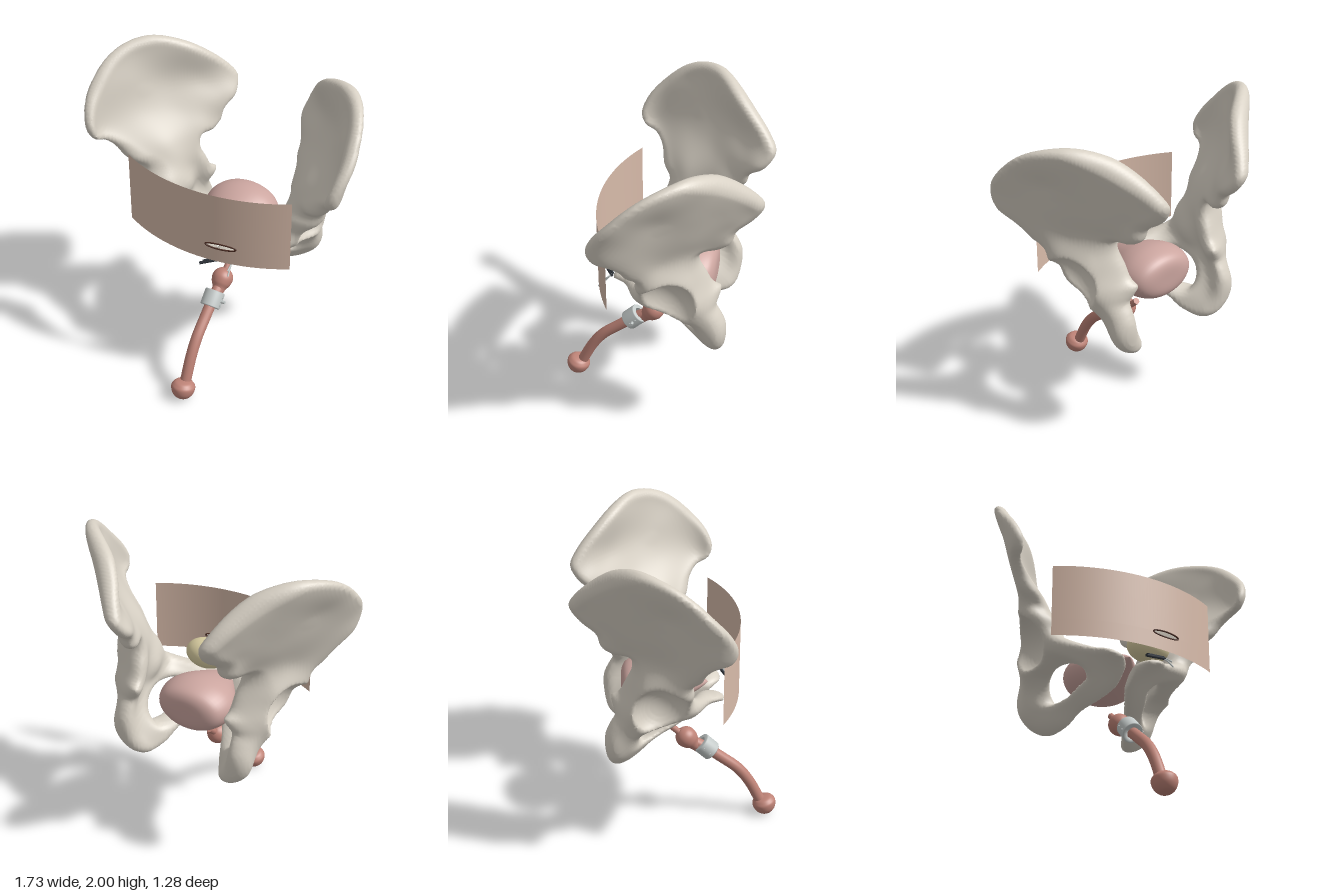
import * as THREE from 'three';

const V = (x, y, z) => new THREE.Vector3(x, y, z);
const mat = (color, side = THREE.FrontSide) => new THREE.MeshStandardMaterial({ color, side, roughness: 0.8 });
const smooth = (pts, n) => new THREE.CatmullRomCurve3(pts.map(([z, y]) => V(z, y, 0)), true).getPoints(n);

// Hip bone in side projection (z, y): rim and obturator opening
const RIM = [[.275, 1.57], [.24, 1.67], [.14, 1.79], [0, 1.915], [-.13, 1.98], [-.26, 2], [-.38, 1.95], [-.5, 1.85],
  [-.6, 1.74], [-.64, 1.66], [-.58, 1.555], [-.49, 1.485], [-.465, 1.41], [-.39, 1.365], [-.3, 1.36], [-.29, 1.3],
  [-.33, 1.2], [-.37, 1.12], [-.415, 1.085], [-.405, 1.03], [-.395, .99], [-.425, .935], [-.455, .865], [-.457, .76], [-.43, .65],
  [-.37, .615], [-.26, .645], [-.155, .72], [-.02, .77], [.11, .84], [.22, .915], [.275, .945], [.245, .98], [.165, 1.01],
  [.06, 1.1], [.06, 1.19], [.045, 1.26], [.095, 1.32], [.12, 1.405], [.165, 1.46], [.245, 1.5]];
const OPENING = [[.05, .925], [0, .95], [-.12, .93], [-.2, .9], [-.25, .83], [-.245, .775], [-.17, .785], [-.06, .83], [.03, .88]];

// Bone guides: z, y, middle x, half thickness
const ILIUM = [[.26, 1.58, .79, .033], [.14, 1.77, .83, .045], [0, 1.89, .805, .04], [-.13, 1.95, .745, .04], [-.26, 1.97, .64, .05],
  [-.38, 1.92, .51, .065], [-.49, 1.83, .41, .065], [-.59, 1.73, .335, .055], [-.6, 1.64, .30, .05], [-.55, 1.56, .29, .06],
  [-.44, 1.42, .33, .05], [-.33, 1.4, .365, .05], [.2, 1.52, .785, .028], [.08, 1.38, .655, .052], [.03, 1.27, .56, .08],
  [.1, 1.62, .785, .026], [-.08, 1.75, .71, .02], [-.1, 1.55, .62, .025], [-.25, 1.72, .59, .022], [-.25, 1.52, .49, .035],
  [-.42, 1.68, .435, .035], [-.42, 1.55, .365, .05], [-.08, 1.38, .53, .06], [-.22, 1.36, .43, .06]];
const ISCHIUM_PUBIS = [[-.05, 1.22, .51, .115], [-.22, 1.2, .445, .1], [-.32, 1.2, .36, .05], [-.12, 1.06, .45, .12], [.02, 1.08, .44, .08],
  [-.27, 1.05, .445, .095], [-.4, 1.07, .33, .035], [-.1, .97, .43, .08], [-.35, .95, .41, .065], [-.39, .84, .40, .075],
  [-.39, .73, .37, .075], [-.36, .66, .31, .055], [-.25, .7, .25, .045], [-.12, .765, .185, .038], [0, .82, .135, .038],
  [.1, .88, .095, .04], [.2, .93, .10, .045], [.25, .945, .125, .04], [.14, .97, .195, .045], [.07, 1.0, .34, .05]];

// Smooth interpolation of one guide column over (z, y)
function interpolator(pts, col) {
  const phi = (a, b) => Math.sqrt((a[0] - b[0]) ** 2 + (a[1] - b[1]) ** 2 + 0.006);
  const n = pts.length, mean = pts.reduce((s, p) => s + p[col], 0) / n;
  const A = pts.map(p => [...pts.map(q => phi(p, q)), p[col] - mean]);
  for (let c = 0; c < n; c++) {
    let best = c;
    for (let r = c; r < n; r++) if (Math.abs(A[r][c]) > Math.abs(A[best][c])) best = r;
    [A[c], A[best]] = [A[best], A[c]];
    for (let r = 0; r < n; r++) {
      if (r === c) continue;
      const f = A[r][c] / A[c][c];
      for (let k = c; k <= n; k++) A[r][k] -= f * A[c][k];
    }
  }
  const w = A.map((row, i) => row[n] / row[i]);
  return (z, y) => pts.reduce((s, p, i) => s + w[i] * phi(p, [z, y]), mean);
}

// Signed distance to a closed outline, negative inside
function outlineDistance(poly, z, y) {
  let best = 1e9, inside = false;
  for (let i = 0, j = poly.length - 1; i < poly.length; j = i++) {
    const a = poly[i], b = poly[j], ex = b.x - a.x, ey = b.y - a.y, wx = z - a.x, wy = y - a.y;
    const t = Math.min(1, Math.max(0, (wx * ex + wy * ey) / (ex * ex + ey * ey || 1)));
    best = Math.min(best, Math.hypot(wx - ex * t, wy - ey * t));
    if ((a.y > y) !== (b.y > y) && z < a.x + (y - a.y) * ex / ey) inside = !inside;
  }
  return inside ? -best : best;
}

// Distance field of the bone, sampled on a grid
function sampleBone(N, origin, cell) {
  const guides = [...ILIUM, ...ISCHIUM_PUBIS];
  const mid = interpolator(guides, 2), half = interpolator(guides, 3);
  const rim = smooth(RIM, 160), opening = smooth(OPENING, 60);
  const field = new Float32Array(N[0] * N[1] * N[2]);
  for (let k = 0; k < N[2]; k++) for (let j = 0; j < N[1]; j++) {
    const y = origin[1] + j * cell, z = origin[2] + k * cell, e = 0.01;
    const edge = Math.max(outlineDistance(rim, z, y), -outlineDistance(opening, z, y));
    const m = mid(z, y), h = Math.max(0.018, half(z, y)), r = Math.min(h, 0.07);
    const g = Math.hypot(1, (mid(z + e, y) - m) / e, (mid(z, y + e) - m) / e);
    for (let i = 0; i < N[0]; i++) {
      const x = origin[0] + i * cell;
      const a = edge + r, b = Math.abs(x - m) / g - h + r;
      let d = Math.min(Math.max(a, b), 0) + Math.hypot(Math.max(a, 0), Math.max(b, 0)) - r;
      // hip socket, with a softened lip
      const s = 0.18 - Math.hypot(x - 0.61, y - 1.065, z + 0.13), q = Math.max(0.02 - Math.abs(d - s), 0);
      d = Math.max(d, s) + q * q / 0.08;
      field[i + N[0] * (j + N[1] * k)] = Math.max(d, 0.03 - x);
    }
  }
  return field;
}

// Surface of the field: one vertex per crossed cell, one quad per crossed edge
function surfaceNet(field, N, origin, cell) {
  const step = [1, N[0], N[0] * N[1]], ids = new Map(), pos = [], index = [];
  const cells = fn => {
    for (let k = 1; k < N[2] - 1; k++) for (let j = 1; j < N[1] - 1; j++) for (let i = 1; i < N[0] - 1; i++) fn([i, j, k], i + step[1] * j + step[2] * k);
  };
  cells((p, at) => {
    const sum = [0, 0, 0];
    let count = 0;
    for (let a = 0; a < 3; a++) for (let c = 0; c < 4; c++) {
      const b1 = (a + 1) % 3, b2 = (a + 2) % 3, o1 = c & 1, o2 = c >> 1;
      const s = at + o1 * step[b1] + o2 * step[b2], f0 = field[s], f1 = field[s + step[a]];
      if ((f0 < 0) === (f1 < 0)) continue;
      sum[a] += f0 / (f0 - f1); sum[b1] += o1; sum[b2] += o2; count++;
    }
    if (!count) return;
    ids.set(at, pos.length / 3);
    for (let a = 0; a < 3; a++) pos.push(origin[a] + cell * (p[a] + sum[a] / count));
  });
  cells((p, at) => {
    for (let a = 0; a < 3; a++) {
      const inside = field[at] < 0;
      if (inside === (field[at + step[a]] < 0)) continue;
      const b = step[(a + 1) % 3], c = step[(a + 2) % 3];
      const q = [at - b - c, at - c, at, at - b].map(v => ids.get(v));
      if (q.includes(undefined)) continue;
      if (!inside) q.reverse();
      index.push(q[0], q[1], q[2], q[0], q[2], q[3]);
    }
  });
  return { pos, index };
}

export function createModel() {
  const model = new THREE.Group();
  model.name = 'pelvicModel';
  const add = (name, geometry, material, parent = model) => {
    const mesh = new THREE.Mesh(geometry, material);
    mesh.name = name;
    parent.add(mesh);
    return mesh;
  };
  const tube = (pts, r, n = 32) => new THREE.TubeGeometry(new THREE.CatmullRomCurve3(pts.map(p => V(...p))), n, r, 16);
  const lathe = pts => new THREE.LatheGeometry(new THREE.SplineCurve(pts.map(p => new THREE.Vector2(...p)))
    .getPoints(40).map(p => p.setX(Math.max(0, p.x))), 40);
  const aim = (mesh, at, dir) => {
    mesh.position.copy(at);
    mesh.quaternion.setFromUnitVectors(V(0, 1, 0), dir.clone().normalize());
    return mesh;
  };
  const rod = (name, a, b, r, material) =>
    aim(add(name, new THREE.CylinderGeometry(r, r, a.distanceTo(b), 12), material), a.clone().lerp(b, 0.5), b.clone().sub(a));

  // Hip bones, mirrored
  const N = [68, 107, 75], origin = [-0.02, 0.57, -0.69], cell = 0.014;
  const net = surfaceNet(sampleBone(N, origin, cell), N, origin, cell);
  const bone = mat(0xd8d1c5);
  for (const s of [1, -1]) {
    const g = new THREE.BufferGeometry();
    g.setAttribute('position', new THREE.Float32BufferAttribute(net.pos.map((v, i) => (i % 3 ? v : v * s)), 3));
    g.setIndex(s > 0 ? net.index : net.index.slice().reverse());
    g.computeVertexNormals();
    add(s > 0 ? 'leftHipBone' : 'rightHipBone', g, bone);
  }

  // Bladder: a lathe along z, flattened in height
  const bladder = add('bladder', lathe([[0, -.35], [.13, -.345], [.205, -.305], [.237, -.21], [.215, -.11], [.15, 0], [.08, .1], [.03, .16], [0, .185]])
    .rotateX(Math.PI / 2).scale(1, 0.67, 1), mat(0xcca6a0));
  bladder.position.y = 0.988;

  // Pressure balloon
  const balloon = add('balloon', new THREE.SphereGeometry(1, 40, 28).scale(0.14, 0.095, 0.1), mat(0xddd1a4));
  balloon.position.set(0.14, 1.09, 0.165);

  // Curved skin panel with a slit: strips below and above the cut
  const R = 1.097, skinZ = x => Math.sqrt(R * R - x * x) - R + 0.37;
  const cut = x => 0.018 * Math.sqrt(Math.max(0, 1 - ((x - 0.155) / 0.095) ** 2));
  const skin = new THREE.Group();
  skin.name = 'skinPanel';
  model.add(skin);
  const skinMat = mat(0xd8bbaa, THREE.DoubleSide);
  for (const s of [-1, 1]) {
    const g = new THREE.PlaneGeometry(1.09, 1, 109, 1), p = g.attributes.position;
    for (let i = 0; i < p.count; i++) {
      const x = p.getX(i), inner = 1.098 + s * cut(x), outer = s > 0 ? 1.45 : 0.988;
      p.setXYZ(i, x, (p.getY(i) > 0) === (s > 0) ? outer : inner, skinZ(x));
    }
    g.computeVertexNormals();
    add(s > 0 ? 'upperSkin' : 'lowerSkin', g, skinMat, skin);
  }
  const slit = Array.from({ length: 40 }, (_, i) => {
    const t = i / 40 * Math.PI * 2, x = 0.155 + 0.095 * Math.cos(t);
    return V(x, 1.098 + 0.018 * Math.sin(t), skinZ(x));
  });
  add('slitEdge', new THREE.TubeGeometry(new THREE.CatmullRomCurve3(slit, true), 80, 0.005, 8, true), mat(0x4a2a20));

  // Instruments: dark handles and pale curved prongs
  const dark = mat(0x30353c), steel = mat(0xc4cac9);
  rod('instrumentHandle', V(0.015, 0.93, 0.36), V(0.2, 0.985, 0.27), 0.009, dark);
  rod('instrumentHandle', V(0.03, 0.945, 0.35), V(0.19, 0.995, 0.265), 0.007, dark);
  add('instrumentProng', tube([[0.15, 0.99, 0.26], [0.19, 0.97, 0.285], [0.205, 0.895, 0.355]], 0.005), steel);
  add('instrumentProng', tube([[0.16, 1.0, 0.26], [0.2, 0.98, 0.28], [0.2, 0.93, 0.35]], 0.005), steel);

  // Urethra: neck, bulb, shaft and rounded tip
  const flesh = mat(0xbe8377);
  const axis = V(0, -0.69, 0.72);
  rod('urethraNeck', V(0, 0.69, -0.055), V(0, 0.59, 0.05), 0.02, flesh);
  aim(add('urethraBulb', lathe([[0, -.07], [.025, -.068], [.054, -.045], [.067, -.01], [.06, .03], [.042, .065], [.034, .12]]), flesh), V(0, 0.592, 0.055), axis);
  add('urethraShaft', tube([[0, 0.56, 0.1], [0, 0.515, 0.175], [0, 0.44, 0.275], [0, 0.35, 0.385], [0, 0.25, 0.46], [0, 0.08, 0.545]], 0.035, 48), flesh);
  const tip = add('urethraTip', lathe([[0, -.065], [.04, -.056], [.067, -.025], [.076, .015], [.066, .037], [.045, .053], [0, .06]]), flesh);
  tip.position.set(0, 0.069, 0.566);
  tip.rotation.x = -0.25;

  // Cuff around the shaft, with small fasteners
  const cuff = new THREE.Group();
  cuff.name = 'cuff';
  model.add(cuff);
  const ring = [[.036, -.052], [.06, -.052], [.064, -.046], [.064, .046], [.06, .052], [.036, .052], [.036, -.052]].map(p => new THREE.Vector2(...p));
  add('cuffRing', new THREE.LatheGeometry(ring, 32), steel, cuff);
  for (const y of [-0.025, 0.025]) {
    const knob = add('cuffKnob', new THREE.CylinderGeometry(0.007, 0.007, 0.136, 12).rotateZ(Math.PI / 2), steel, cuff);
    knob.position.y = y;
  }
  const port = add('cuffPort', new THREE.CylinderGeometry(0.01, 0.01, 0.035, 12).rotateZ(Math.PI / 2), steel, cuff);
  port.position.x = 0.07;
  aim(cuff, V(0, 0.518, 0.18), axis);

  return model;
}
